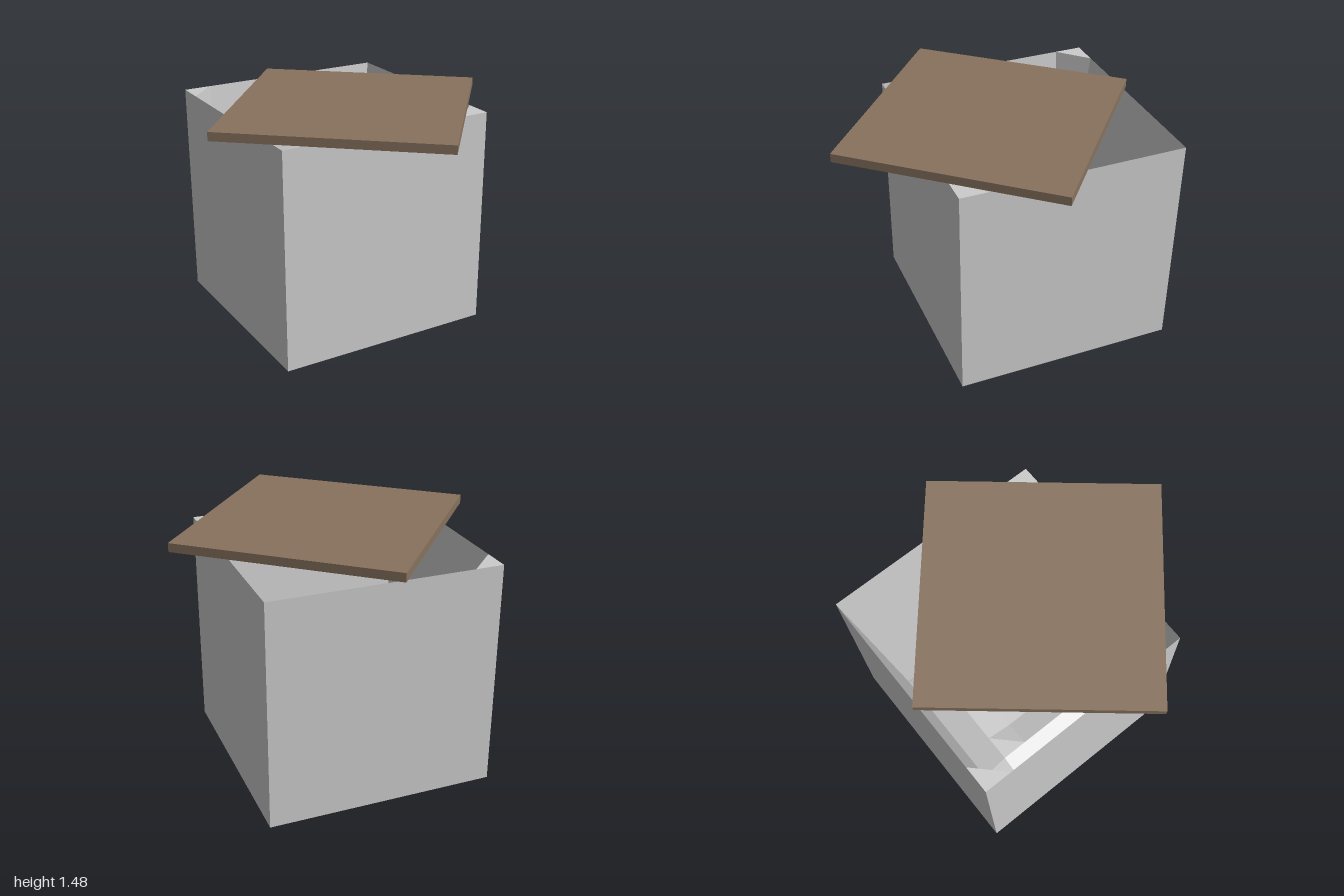
import * as THREE from 'three';

const SIZE = 1.42;      // edge of the crate and of the lid
const CELLS = 8;        // grid cells across the hollow
const CRATE_Z = -0.26;

// Five-sided outer shell: a box without its top face
function shellGeometry() {
  const geo = new THREE.BoxGeometry(SIZE, SIZE, SIZE);
  const topGroup = geo.groups[2];
  const index = Array.from(geo.index.array);
  index.splice(topGroup.start, topGroup.count);
  geo.setIndex(index);
  geo.clearGroups();
  geo.translate(0, SIZE / 2, 0);
  return geo;
}

// Hollow: a grid whose rim stays at the top while the inner rings drop to the floor
function hollowGeometry() {
  const ringHeights = [SIZE, 0.004, 0.09, 0.03, 0.03];
  const grid = new THREE.PlaneGeometry(SIZE, SIZE, CELLS, CELLS);
  grid.rotateX(-Math.PI / 2);
  const pos = grid.attributes.position;
  for (let i = 0; i < pos.count; i++) {
    const col = i % (CELLS + 1);
    const row = Math.floor(i / (CELLS + 1));
    const ring = Math.min(col, row, CELLS - col, CELLS - row);
    pos.setY(i, ringHeights[ring]);
  }
  const flat = grid.toNonIndexed();
  flat.computeVertexNormals();
  return flat;
}

export function createModel() {
  const grey = new THREE.MeshStandardMaterial({ color: 0xcccccc });
  grey.name = 'pale grey';
  const brown = new THREE.MeshStandardMaterial({ color: 0x88725e });
  brown.name = 'wood brown';

  const model = new THREE.Group();
  model.name = 'openBox';

  // Crate
  const crate = new THREE.Group();
  crate.name = 'crate';
  crate.position.z = CRATE_Z;
  const shell = new THREE.Mesh(shellGeometry(), grey);
  shell.name = 'outerShell';
  const hollow = new THREE.Mesh(hollowGeometry(), grey);
  hollow.name = 'innerHollow';
  crate.add(shell, hollow);

  // Lid, twisted and slid forward on the rim
  const thickness = 0.055;
  const lid = new THREE.Mesh(new THREE.BoxGeometry(SIZE, thickness, SIZE), brown);
  lid.name = 'lid';
  lid.position.y = SIZE + thickness / 2;
  lid.rotation.y = THREE.MathUtils.degToRad(-40);

  model.add(crate, lid);
  return model;
}
